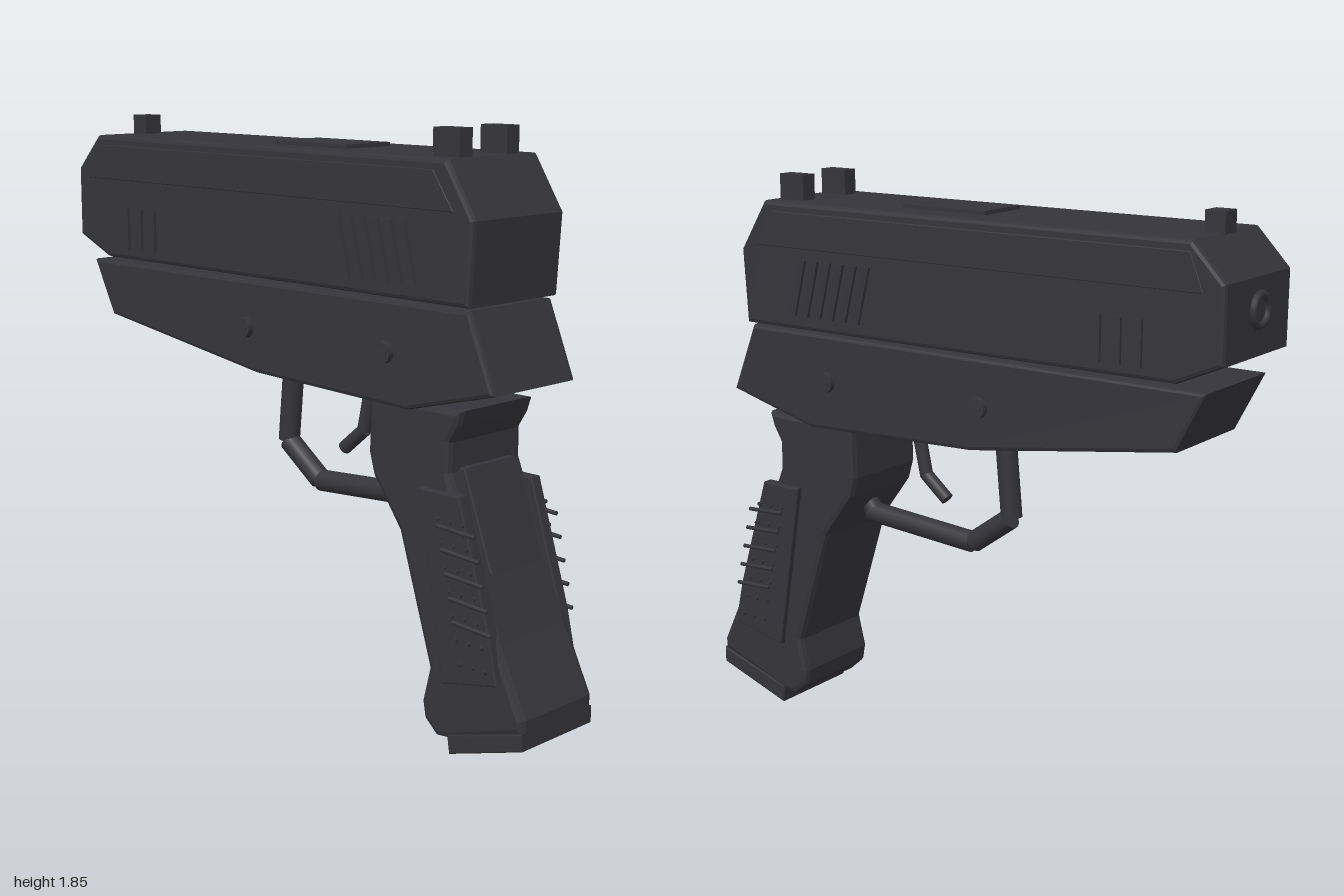
import * as THREE from 'three';

const darkMetal = new THREE.MeshStandardMaterial({ color: 0x34343a });
darkMetal.name = 'darkMetal';

// Side profile of [z, y] points, extruded across x with bevelled edges
function profile(name, points, width, bevel, x = 0) {
  const shape = new THREE.Shape(points.map(([z, y]) => new THREE.Vector2(z, y)));
  const depth = width - 2 * bevel;
  const geo = new THREE.ExtrudeGeometry(shape, {
    depth, bevelEnabled: bevel > 0, bevelSize: bevel, bevelThickness: bevel,
    bevelOffset: -bevel, bevelSegments: 2,
  });
  geo.translate(0, 0, -depth / 2);
  geo.rotateY(-Math.PI / 2);
  return place(name, geo, x, 0, 0);
}

function place(name, geo, x, y, z) {
  const mesh = new THREE.Mesh(geo, darkMetal);
  mesh.name = name;
  mesh.position.set(x, y, z);
  return mesh;
}

function box(name, w, h, d, x, y, z) {
  return place(name, new THREE.BoxGeometry(w, h, d), x, y, z);
}

// Round bar between two [z, y] points at a given x
function bar(name, a, b, radius, x = 0, sides = 16) {
  const dir = new THREE.Vector3(0, b[1] - a[1], b[0] - a[0]);
  const geo = new THREE.CylinderGeometry(radius, radius, dir.length(), sides);
  const mesh = place(name, geo, x, (a[1] + b[1]) / 2, (a[0] + b[0]) / 2);
  mesh.quaternion.setFromUnitVectors(new THREE.Vector3(0, 1, 0), dir.normalize());
  return mesh;
}

export function createModel() {
  const model = new THREE.Group();
  model.name = 'pistol';

  // Slide, frame and grip
  model.add(
    profile('slide', [[0.8, 1.355], [0.815, 1.6], [0.71, 1.765], [-0.87, 1.765],
      [-0.98, 1.65], [-0.98, 1.42], [-0.83, 1.355]], 0.4, 0.013),
    profile('frame', [[0.79, 1.347], [0.885, 1.115], [0.55, 1.027], [-0.1, 1.047],
      [-0.83, 1.152], [-0.925, 1.337]], 0.37, 0.013),
    profile('grip', [[0.75, 1.05], [0.735, 1.0], [0.705, 0.95], [0.705, 0.86], [0.9, 0.385],
      [1.0, 0.18], [1.0, 0.14], [0.72, 0.045], [0.67, 0.04], [0.62, 0.085], [0.61, 0.14],
      [0.637, 0.25], [0.51, 0.65], [0.4, 0.8], [0.38, 0.87], [0.385, 1.05]], 0.33, 0.02),
    profile('gripBase', [[1.0, 0.145], [1.0, 0.09], [0.725, 0.0], [0.715, 0.06]], 0.33, 0.005),
    profile('backstrap', [[0.69, 0.87], [0.725, 0.87], [0.836, 0.57], [0.75, 0.57]], 0.23, 0.005),
  );

  // Sights and ejection cover on top
  for (const x of [-0.103, 0.103]) model.add(box('rearSight', 0.055, 0.09, 0.1, x, 1.802, 0.648));
  model.add(box('frontSight', 0.066, 0.065, 0.066, 0, 1.795, -0.85));
  model.add(box('ejectionCover', 0.19, 0.015, 0.315, 0, 1.77, 0.06));

  // Muzzle ring and bore
  const ring = place('muzzleRing', new THREE.TorusGeometry(0.045, 0.012, 10, 32), 0, 1.555, -0.986);
  const bore = place('bore', new THREE.CylinderGeometry(0.045, 0.045, 0.02, 32), 0, 1.555, -0.975);
  bore.rotation.x = Math.PI / 2;
  model.add(ring, bore);

  // Trigger and trigger guard
  model.add(
    bar('trigger', [0.24, 1.04], [0.205, 0.88], 0.022),
    bar('trigger', [0.21, 0.885], [0.12, 0.81], 0.022),
    bar('triggerGuard', [0.49, 0.79], [0.43, 0.72], 0.033),
    bar('triggerGuard', [0.44, 0.713], [0.015, 0.683], 0.035),
    bar('triggerGuard', [0.01, 0.685], [-0.135, 0.79], 0.035),
    bar('triggerGuard', [-0.138, 0.795], [-0.115, 1.04], 0.035),
  );

  // Details on both sides
  for (const side of [-1, 1]) {
    model.add(profile('slidePanel', [[0.745, 1.62], [0.665, 1.735], [-0.87, 1.735], [-0.915, 1.62]],
      0.016, 0.003, side * 0.198));

    // Slanted rear serrations and upright front ones
    for (let i = 0; i < 6; i++) {
      const z = 0.607 - i * 0.053;
      model.add(profile('rearSerration', [[z, 1.4], [z - 0.028, 1.4], [z - 0.075, 1.585],
        [z - 0.047, 1.585]], 0.02, 0, side * 0.2));
    }
    for (let i = 0; i < 3; i++) {
      model.add(box('frontSerration', 0.02, 0.14, 0.02, side * 0.2, 1.46, -0.575 - i * 0.069));
    }

    // Screws with a raised slot bar
    for (const z of [0.47, -0.14]) {
      const screw = place('screw', new THREE.CylinderGeometry(0.033, 0.033, 0.03, 24), side * 0.19, 1.19, z);
      screw.rotation.z = Math.PI / 2;
      model.add(screw, box('screwSlot', 0.008, 0.01, 0.045, side * 0.205, 1.19, z));
    }

    // Grip panel with ribs and studs
    model.add(profile('gripPanel', [[0.765, 0.805], [0.61, 0.805], [0.71, 0.225], [0.92, 0.27],
      [0.885, 0.42]], 0.04, 0.005, side * 0.165));
    for (let i = 0; i < 5; i++) {
      const y = 0.702 - i * 0.07;
      const z = 0.83 + i * 0.017;
      model.add(bar('gripRib', [z, y - 0.004], [z - 0.145, y + 0.004], 0.007, side * 0.187, 8));
    }
    for (let row = 0; row < 7; row++) {
      const y = 0.725 - row * 0.07;
      for (let i = 0; i < 3; i++) {
        const stud = place('gripStud', new THREE.CylinderGeometry(0.007, 0.007, 0.02, 8),
          side * 0.186, y, 0.685 + row * 0.016 + i * 0.048);
        stud.rotation.z = Math.PI / 2;
        model.add(stud);
      }
    }
  }
  return model;
}
